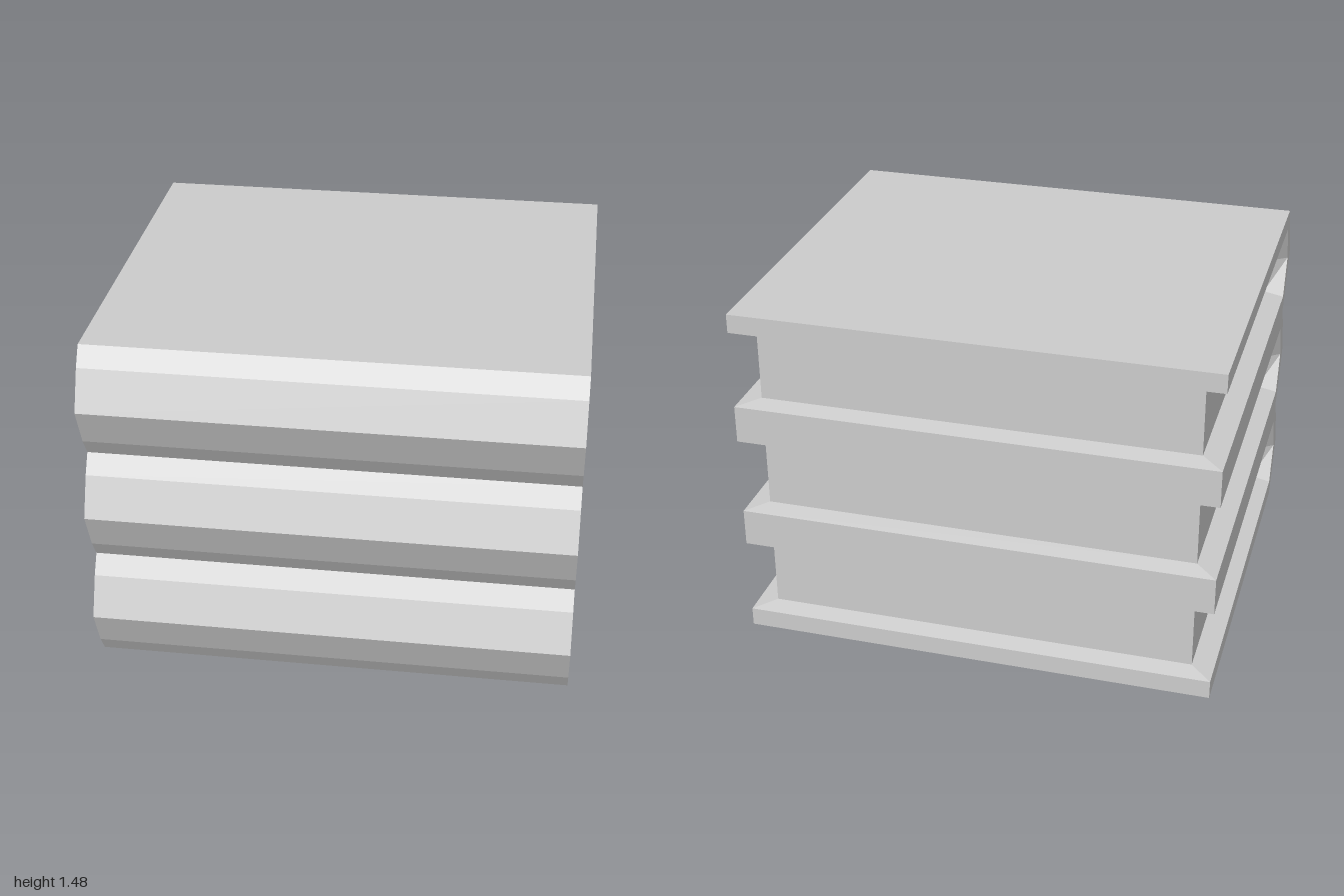
import * as THREE from 'three';

const BOOKS = 3, H = 1.48 / BOOKS, MID = H / 2;
const HALF = 1, PAGE = 0.91; // half widths of cover and page block

// Profiles as [z, y], running from the back edge round the spine and back
const outer = [[-0.9, 0], [0.78, 0], [0.83, 0.08], [0.9, MID], [0.83, H - 0.08], [0.78, H], [-0.9, H]];
const inner = [[-0.9, 0.08], [0.757, 0.08], [0.825, MID], [0.757, H - 0.08], [-0.9, H - 0.08]];
const paper = [[-0.825, 0.097], [0.757, 0.097], [0.757, MID], [0.757, H - 0.097], [-0.825, H - 0.097]];

// Flat-faced surface from a list of four-cornered faces
function quadSurface(quads) {
  const pos = [];
  for (const [a, b, c, d] of quads) pos.push(...a, ...b, ...c, ...a, ...c, ...d);
  const g = new THREE.BufferGeometry();
  g.setAttribute('position', new THREE.Float32BufferAttribute(pos, 3));
  g.computeVertexNormals();
  return g;
}

// Sloping lining that joins the cover edges to the page block
function liningGeometry() {
  const at = (x, [z, y]) => [x, y, z];
  const quads = [];
  for (const s of [1, -1]) {
    for (let i = 0; i < inner.length - 1; i++) {
      const q = [at(s * HALF, inner[i]), at(s * PAGE, paper[i]), at(s * PAGE, paper[i + 1]), at(s * HALF, inner[i + 1])];
      quads.push(s > 0 ? q : q.reverse());
    }
  }
  // back edges of the lower and upper boards
  for (const [i, s] of [[0, 1], [4, -1]]) {
    quads.push([at(s * HALF, inner[i]), at(-s * HALF, inner[i]), at(-s * PAGE, paper[i]), at(s * PAGE, paper[i])]);
  }
  return quadSurface(quads);
}

// Cover: boards and angular spine in one C-shaped section
function coverGeometry() {
  const pts = [...outer, ...[...inner].reverse()].map(([z, y]) => new THREE.Vector2(z, y));
  const g = new THREE.ExtrudeGeometry(new THREE.Shape(pts), { depth: 2 * HALF, bevelEnabled: false });
  return g.translate(0, 0, -HALF).rotateY(-Math.PI / 2);
}

export function createModel() {
  const group = new THREE.Group();
  group.name = 'bookStack';
  const mat = new THREE.MeshStandardMaterial({ color: 0xcccccc, flatShading: true });
  const thinMat = mat.clone();
  thinMat.side = THREE.DoubleSide;

  const pages = new THREE.BoxGeometry(2 * PAGE, H - 0.194, 1.582).translate(0, MID, -0.034);
  const parts = [
    ['cover', coverGeometry(), mat],
    ['lining', liningGeometry(), thinMat],
    ['pages', pages, mat],
  ];

  for (let i = 0; i < BOOKS; i++) {
    const book = new THREE.Group();
    book.name = `book${i + 1}`;
    book.position.y = i * H;
    for (const [name, geometry, material] of parts) {
      const mesh = new THREE.Mesh(geometry, material);
      mesh.name = name;
      book.add(mesh);
    }
    group.add(book);
  }
  return group;
}
